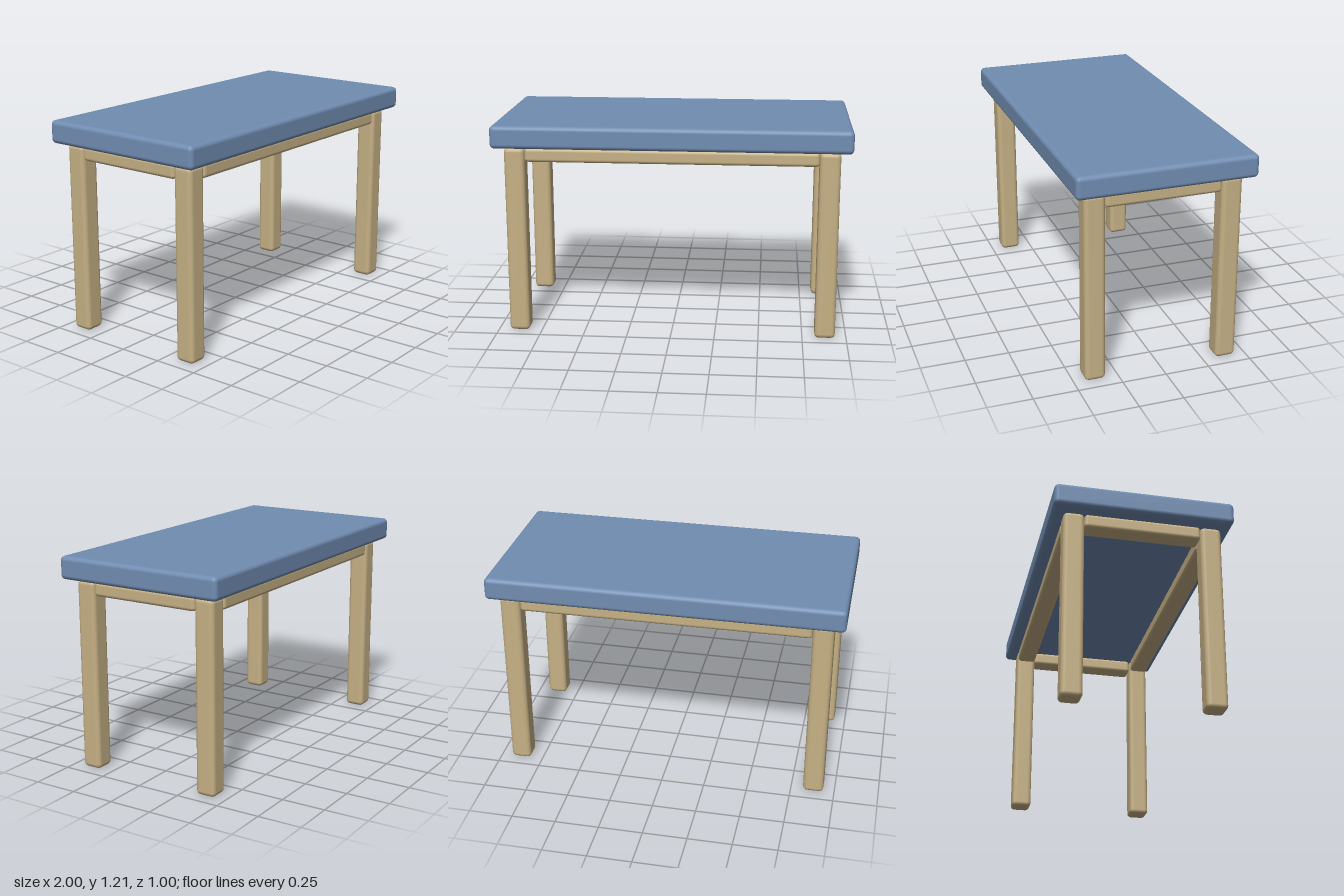
import * as THREE from 'three';
import { RoundedBoxGeometry } from 'three/addons/geometries/RoundedBoxGeometry.js';

export function createModel() {
  const model = new THREE.Group();
  model.name = 'bench';
  const wood = new THREE.MeshStandardMaterial({ color: 0xc6b185 });
  wood.name = 'tan wood';
  const fabric = new THREE.MeshStandardMaterial({ color: 0x718db2 });
  fabric.name = 'blue padding';

  // Box with softly rounded edges, placed by its centre
  function block(name, size, position, radius, material) {
    const mesh = new THREE.Mesh(new RoundedBoxGeometry(...size, 3, radius), material);
    mesh.name = name;
    mesh.position.set(...position);
    model.add(mesh);
  }

  const legX = 0.878, legZ = 0.381, leg = 0.116, legTop = 1.078;
  const railHeight = 0.08, railY = legTop - railHeight / 2, railDepth = 0.11;

  // Padded top
  block('paddedTop', [2, 0.128, 1], [0, 1.148, 0], 0.025, fabric);

  // Four legs
  for (const x of [-1, 1]) {
    for (const z of [-1, 1]) {
      const name = (z > 0 ? 'front' : 'back') + (x > 0 ? 'Left' : 'Right') + 'Leg';
      block(name, [leg, legTop, leg], [x * legX, legTop / 2, z * legZ], 0.025, wood);
    }
  }

  // Rails running between the legs under the top
  for (const s of [-1, 1]) {
    block(s > 0 ? 'frontRail' : 'backRail',
      [2 * legX - leg, railHeight, railDepth], [0, railY, s * legZ], 0.02, wood);
    block(s > 0 ? 'leftRail' : 'rightRail',
      [railDepth, railHeight, 2 * legZ - leg], [s * legX, railY, 0], 0.02, wood);
  }

  return model;
}
